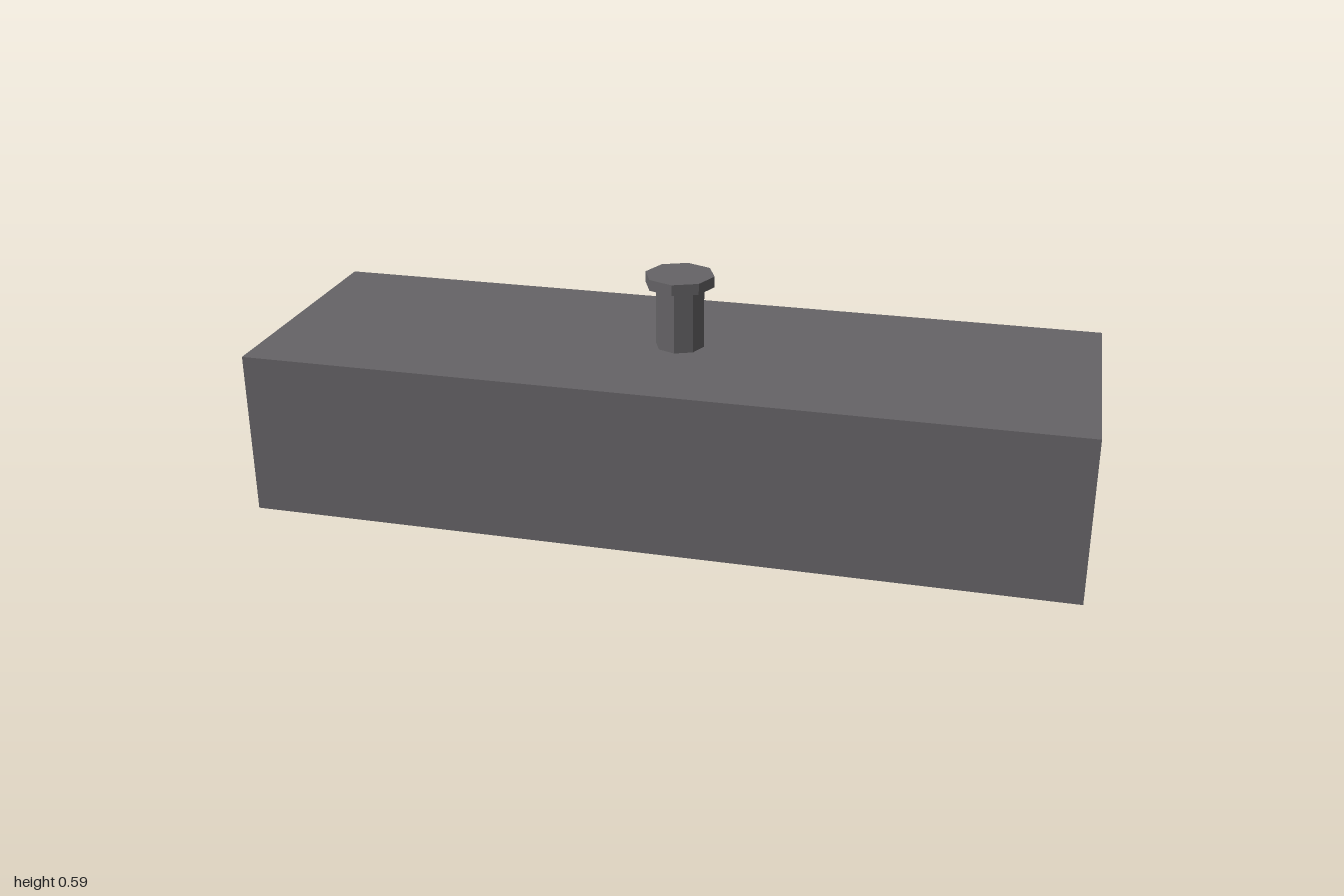
import * as THREE from 'three';

const WIDTH = 2, HEIGHT = 0.405, DEPTH = 0.648;
const STEM_TOP = 0.56, CAP_TOP = 0.587;

export function createModel() {
  const group = new THREE.Group();
  const darkGrey = new THREE.MeshStandardMaterial({ color: 0x666467, flatShading: true, side: THREE.DoubleSide });
  darkGrey.name = 'darkGrey';

  const add = (name, geometry, y) => {
    const mesh = new THREE.Mesh(geometry, darkGrey);
    mesh.name = name;
    mesh.position.y = y;
    group.add(mesh);
  };

  // Thin-walled cover, open underneath: drop the box's bottom face
  const cover = new THREE.BoxGeometry(WIDTH, HEIGHT, DEPTH);
  const faces = Array.from(cover.index.array);
  faces.splice(18, 6);
  cover.setIndex(faces);
  cover.clearGroups();
  add('cover', cover, HEIGHT / 2);

  // Octagonal handle: open-ended stem under a wider cap
  const stemHeight = STEM_TOP - HEIGHT;
  add('handleStem', new THREE.CylinderGeometry(0.06, 0.06, stemHeight, 8, 1, true), HEIGHT + stemHeight / 2);
  const capHeight = CAP_TOP - STEM_TOP;
  add('handleCap', new THREE.CylinderGeometry(0.085, 0.085, capHeight, 8), STEM_TOP + capHeight / 2);

  return group;
}
